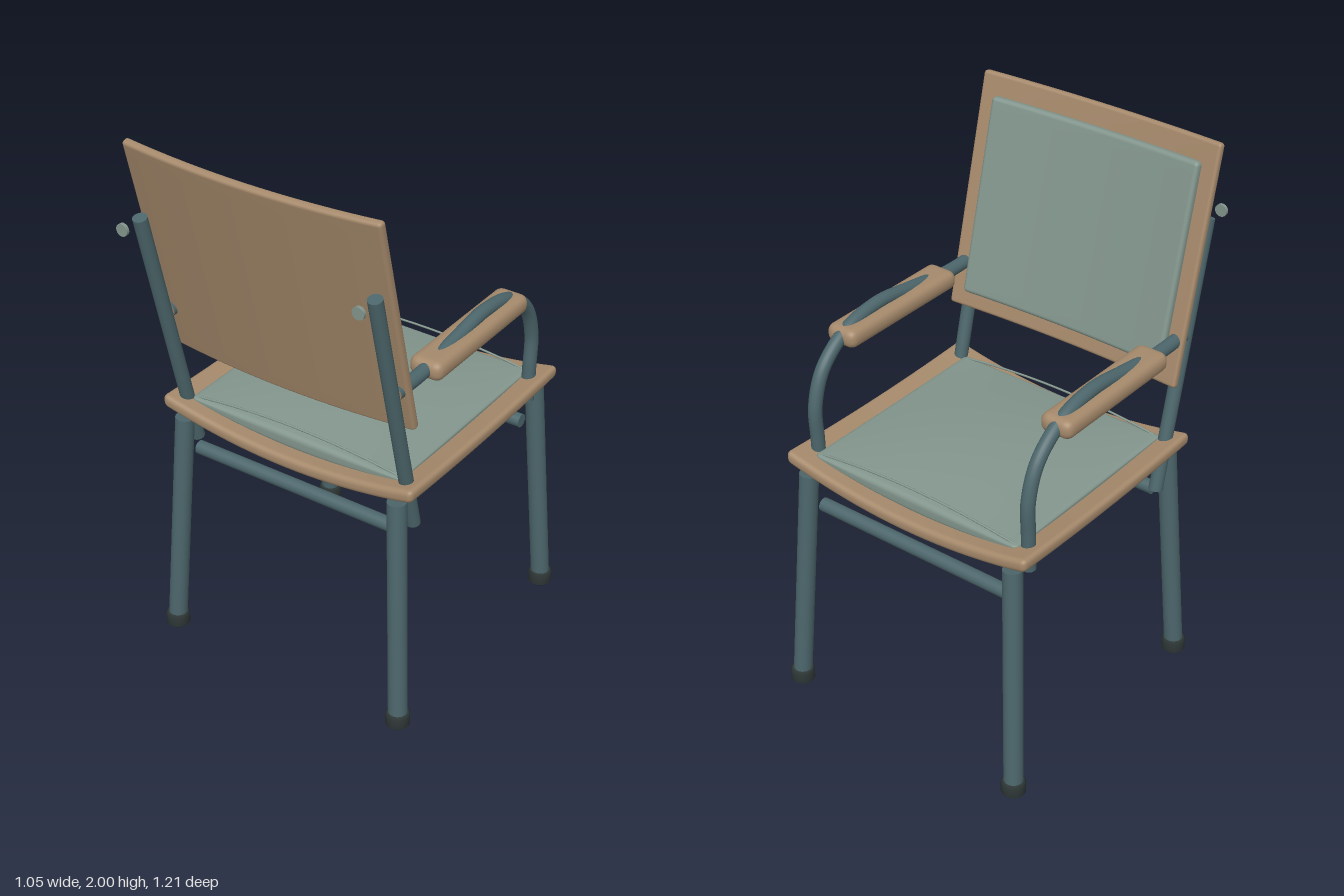
import * as THREE from 'three';
import { mergeVertices } from 'three/addons/utils/BufferGeometryUtils.js';

const material = (name, color) => {
  const m = new THREE.MeshStandardMaterial({ color });
  m.name = name;
  return m;
};

const V = (x, y, z) => new THREE.Vector3(x, y, z);

// Finely divided box with rounded edges, bent by an optional rule
function softSlab(w, h, d, r, warp) {
  const k = 3;
  const size = [w, h, d];
  const flat = [20, 1, 20];
  if (h > d) { flat[1] = 20; flat[2] = 1; }
  const n = flat.map((f) => f + 2 * k);
  let geo = new THREE.BoxGeometry(1, 1, 1, ...n);
  geo.deleteAttribute('uv');
  geo.deleteAttribute('normal');
  const pos = geo.attributes.position;
  const p = V(0, 0, 0), inner = V(0, 0, 0);
  for (let v = 0; v < pos.count; v++) {
    p.fromBufferAttribute(pos, v);
    for (let a = 0; a < 3; a++) {
      const i = Math.round((p.getComponent(a) + 0.5) * n[a]);
      const half = size[a] / 2;
      let c;
      if (i < k) c = -half + (r * i) / k;
      else if (i > n[a] - k) c = half - (r * (n[a] - i)) / k;
      else c = -half + r + ((2 * half - 2 * r) * (i - k)) / flat[a];
      p.setComponent(a, c);
      inner.setComponent(a, THREE.MathUtils.clamp(c, r - half, half - r));
    }
    p.sub(inner).setLength(r).add(inner);
    if (warp) warp(p);
    pos.setXYZ(v, p.x, p.y, p.z);
  }
  geo = mergeVertices(geo, 1e-5);
  geo.computeVertexNormals();
  return geo;
}

// Straight round bar between two points
function bar(a, b, r) {
  const dir = b.clone().sub(a);
  const geo = new THREE.CylinderGeometry(r, r, dir.length(), 24);
  geo.applyQuaternion(new THREE.Quaternion().setFromUnitVectors(V(0, 1, 0), dir.normalize()));
  const mid = a.clone().add(b).multiplyScalar(0.5);
  return geo.translate(mid.x, mid.y, mid.z);
}

export function createModel() {
  const wood = material('wood', 0xa5896b);
  const steel = material('painted steel', 0x4c666b);
  const fabric = material('upholstery', 0x82958c);
  const rubber = material('rubber', 0x2e3636);

  const chair = new THREE.Group();
  chair.name = 'armchair';
  const add = (name, geo, mat, parent = chair) => {
    const mesh = new THREE.Mesh(geo, mat);
    mesh.name = name;
    parent.add(mesh);
    return mesh;
  };

  // Seat board, dished from side to side
  const seatZ = -0.08;
  const dish = (x, z) => 0.06 * (x / 0.51) ** 2 + 0.012 * (z / 0.47) ** 2;
  add('seatBoard', softSlab(1.02, 0.05, 0.94, 0.02, (p) => {
    p.y += dish(p.x, p.z);
  }), wood).position.set(0, 0.88, seatZ);

  // Seat cushion: fills the dish and swells to a low crown
  const ch = 0.03;
  add('seatCushion', softSlab(0.86, 2 * ch, 0.82, 0.02, (p) => {
    const t = (p.y + ch) / (2 * ch);
    const u = 1 - (p.x / 0.43) ** 2, v = 1 - (p.z / 0.41) ** 2;
    const base = 0.895 + dish(p.x, p.z);
    const top = 0.963 + 0.032 * u * v;
    p.y = base + (top - base) * t;
  }), fabric).position.z = seatZ;

  // Arched piping at the two ends of the cushion
  for (const z of [-0.475, 0.315]) {
    const arch = new THREE.QuadraticBezierCurve3(V(-0.41, 0.962, z), V(0, 1.02, z), V(0.41, 0.962, z));
    add('seatPiping', new THREE.TubeGeometry(arch, 32, 0.004, 8), fabric);
  }

  // Backrest: bowed panel and pad, leaning back
  const backrest = new THREE.Group();
  backrest.name = 'backrest';
  backrest.position.set(0, 1.582, 0.453);
  backrest.rotation.x = THREE.MathUtils.degToRad(14);
  chair.add(backrest);
  const bow = (p) => { p.z -= 0.029 * (p.x / 0.485) ** 2; };
  add('backPanel', softSlab(0.97, 0.852, 0.031, 0.012, bow), wood, backrest);
  add('backCushion', softSlab(0.85, 0.715, 0.042, 0.016, bow), fabric, backrest)
    .position.set(0, -0.008, -0.02);

  // Cross rails under the seat
  for (const [name, z] of [['backRail', 0.31], ['frontRail', -0.47]]) {
    add(name, bar(V(-0.42, 0.748, z), V(0.42, 0.748, z), 0.025), steel);
  }

  for (const s of [1, -1]) {
    const side = new THREE.Group();
    side.name = s > 0 ? 'leftSide' : 'rightSide';
    chair.add(side);
    const x = 0.45 * s;

    // Splayed legs with rubber feet
    for (const [name, topZ, footZ] of [['backLeg', 0.36, 0.403], ['frontLeg', -0.515, -0.565]]) {
      add(name, bar(V(0.437 * s, 0.895, topZ), V(0.482 * s, 0.03, footZ), 0.034), steel, side);
      const foot = new THREE.LatheGeometry(
        [[0, 0], [0.036, 0], [0.043, 0.007], [0.043, 0.046], [0.036, 0.054], [0, 0.054]]
          .map(([r, y]) => new THREE.Vector2(r, y)), 28);
      add(name + 'Foot', foot, rubber, side).position.set(0.482 * s, 0, footZ);
    }

    // Back post and the small round plug behind its top
    add('backPost', bar(V(x, 0.77, 0.28), V(x, 1.73, 0.515), 0.025), steel, side);
    add('postPlug', bar(V(x, 1.724, 0.593), V(x, 1.724, 0.605), 0.022), fabric, side);

    // Arm tube sweeping over the pad and down through the seat
    const path = [
      [1.335, 0.4], [1.335, 0.24], [1.36, 0.05], [1.38, -0.12], [1.35, -0.28],
      [1.255, -0.405], [1.13, -0.452], [1.0, -0.45],
    ].map(([y, z]) => V(x, y, z));
    add('armTube', new THREE.TubeGeometry(new THREE.CatmullRomCurve3(path), 64, 0.0245, 20), steel, side);
    add('armPost', bar(V(x, 1.01, -0.45), V(x, 0.865, -0.446), 0.0245), steel, side);

    // Wooden arm pad
    add('armPad', softSlab(0.124, 0.07, 0.56, 0.03), wood, side).position.set(0.448 * s, 1.335, -0.043);
  }

  return chair;
}
